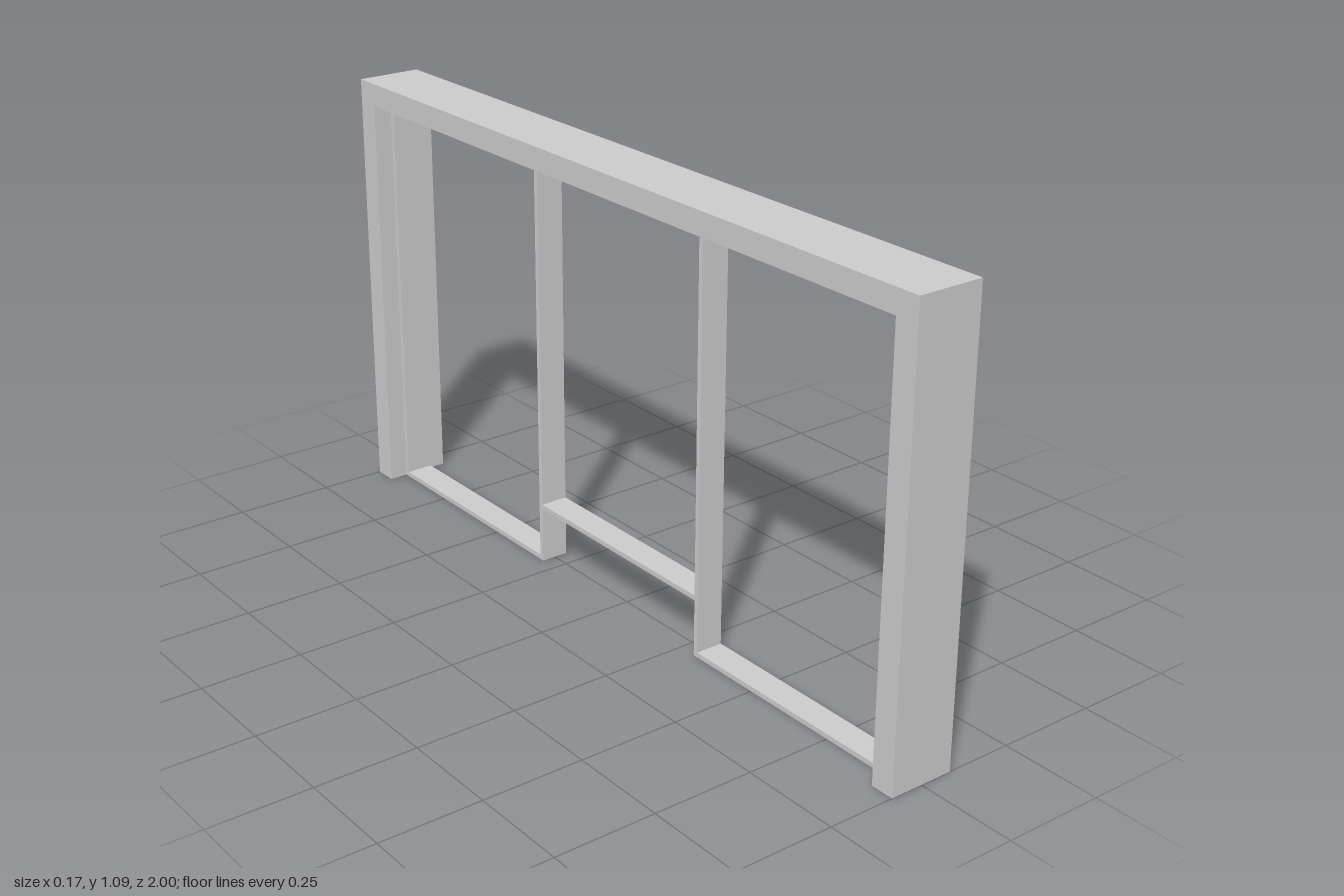
import * as THREE from 'three';

// Extrudes an outline drawn in (z, y) to a depth centred on x = 0
function extrudeAcross(outline, holes, depth) {
  const toPoints = (list) => list.map(([z, y]) => new THREE.Vector2(z, y));
  const shape = new THREE.Shape(toPoints(outline));
  holes.forEach((h) => shape.holes.push(new THREE.Path(toPoints(h))));
  const geo = new THREE.ExtrudeGeometry(shape, { depth, bevelEnabled: false });
  geo.translate(0, 0, -depth / 2);
  geo.rotateY(-Math.PI / 2);
  return geo;
}

const rect = (z0, y0, z1, y1) => [[z0, y0], [z1, y0], [z1, y1], [z0, y1]];

// Drops the triangles lying flat on the ground, leaving the base open
function openBase(geo) {
  const p = geo.attributes.position;
  const kept = [];
  for (let i = 0; i < p.count; i += 3) {
    if (Math.max(p.getY(i), p.getY(i + 1), p.getY(i + 2)) < 1e-5) continue;
    for (let j = i; j < i + 3; j++) kept.push(p.getX(j), p.getY(j), p.getZ(j));
  }
  const open = new THREE.BufferGeometry();
  open.setAttribute('position', new THREE.Float32BufferAttribute(kept, 3));
  open.computeVertexNormals();
  return open;
}

export function createModel() {
  const model = new THREE.Group();
  model.name = 'windowFrame';
  const material = new THREE.MeshStandardMaterial({ color: 0xcccccc, side: THREE.DoubleSide });
  const add = (name, geo) => {
    const mesh = new THREE.Mesh(geo, material);
    mesh.name = name;
    model.add(mesh);
  };

  const height = 1.09, innerZ = 0.94, innerTop = 1.033; // surround opening
  const bar = 0.012, postZ = 0.31, railY = 0.142; // slim inner bars

  // Deep surround: two jambs and a head, hollow at the feet
  add('surround', openBase(extrudeAcross([
    [-1, 0], [-innerZ, 0], [-innerZ, innerTop], [innerZ, innerTop],
    [innerZ, 0], [1, 0], [1, height], [-1, height],
  ], [], 0.165)));

  // Slim inner frame: three openings, the middle one with a raised sill
  const inPost = postZ - bar, top = innerTop - bar;
  add('innerFrame', extrudeAcross([
    [-innerZ, 0], [-inPost, 0], [-inPost, railY], [inPost, railY],
    [inPost, 0], [innerZ, 0], [innerZ, innerTop], [-innerZ, innerTop],
  ], [
    rect(-innerZ + bar, bar, -postZ, top),
    rect(-inPost, railY + bar, inPost, top),
    rect(postZ, bar, innerZ - bar, top),
  ], 0.07));

  return model;
}
